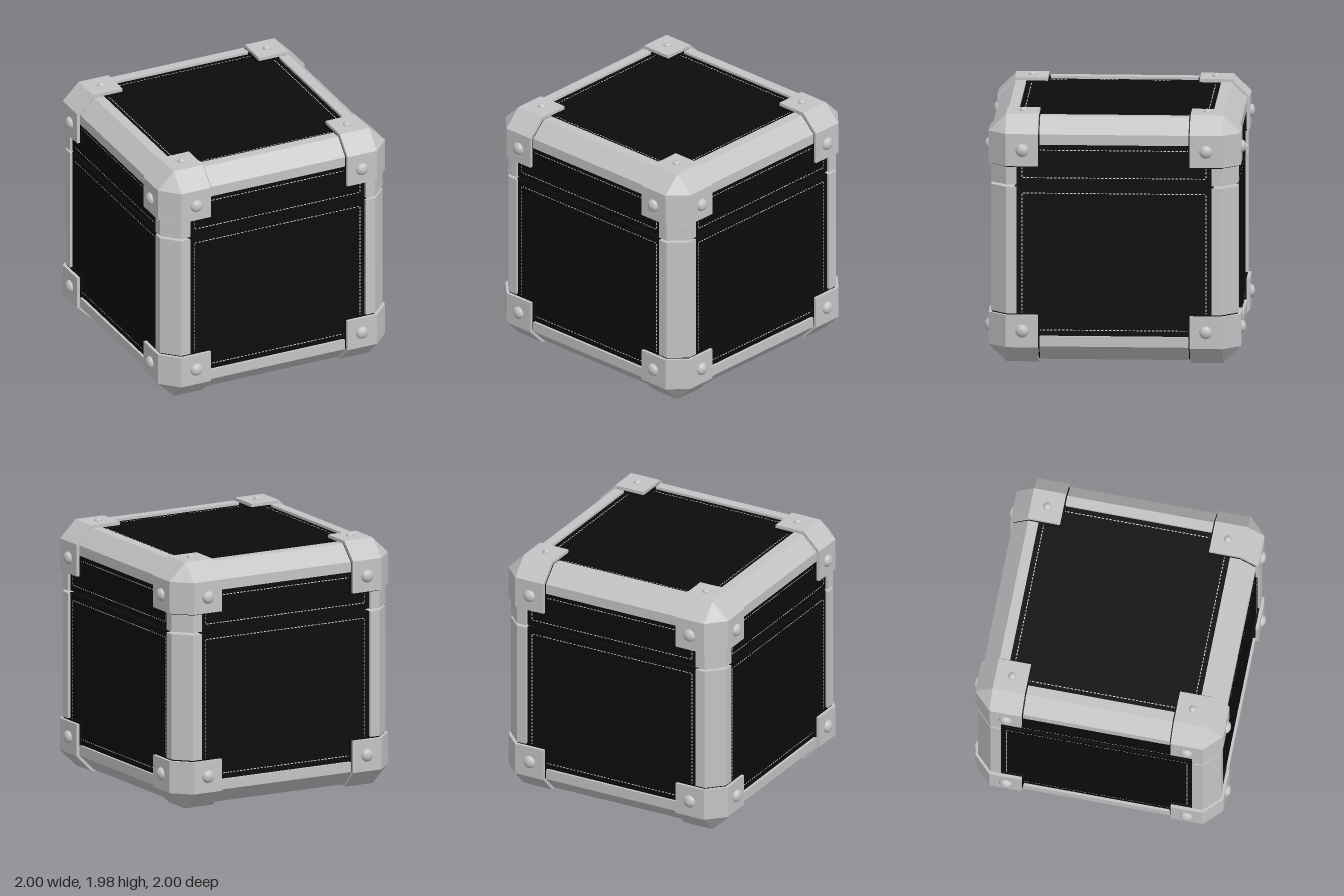
import * as THREE from 'three';
import { mergeGeometries } from 'three/addons/utils/BufferGeometryUtils.js';
import { ConvexGeometry } from 'three/addons/geometries/ConvexGeometry.js';

const mat = (name, color) => {
  const m = new THREE.MeshStandardMaterial({ color });
  m.name = name;
  return m;
};

const CENTRE_Y = 0.99;              // all parts are built around the cube centre
const PANEL = 0.925;                // half size to the panel faces
const CORE = 0.76;                  // half size of the inner core
const SEAM_LOW = 0.415, SEAM_HIGH = 0.435; // gap between base and lid
const SIGNS = [-1, 1];

// Vector from a value along an axis and values along the next two axes
function onAxis(axis, along, u, v) {
  const p = [0, 0, 0];
  p[axis] = along;
  p[(axis + 1) % 3] = u;
  p[(axis + 2) % 3] = v;
  return new THREE.Vector3(...p);
}

// Chamfered bar along one cube edge
function edgeBar(axis, su, sv, from, to) {
  const profile = [[0.745, 0.745], [0.745, 0.945], [0.825, 0.945], [0.945, 0.825], [0.945, 0.745]];
  const pts = [];
  for (const end of [from, to])
    for (const [u, v] of profile) pts.push(onAxis(axis, end, u * su, v * sv));
  return new ConvexGeometry(pts);
}

// Cube corner with three chamfered edges and a cut tip
function cornerBlock(signs, inner, chamfer, outer) {
  const pts = [new THREE.Vector3(inner, inner, inner)];
  for (let axis = 0; axis < 3; axis++)
    for (const u of [inner, chamfer])
      for (const v of [inner, chamfer]) pts.push(onAxis(axis, outer, u, v));
  return new ConvexGeometry(pts.map(p => p.multiply(signs)));
}

// Dashed rectangle of flat stitches in the XY plane
function stitchFrame(halfWidth, low, high) {
  const dashes = [];
  const line = (x0, y0, x1, y1) => {
    const length = Math.hypot(x1 - x0, y1 - y0);
    const n = Math.round(length / 0.03);
    for (let i = 0; i < n; i++) {
      const t = (i + 0.5) / n;
      const dash = new THREE.PlaneGeometry(0.019, 0.007);
      dash.rotateZ(Math.atan2(y1 - y0, x1 - x0));
      dash.translate(x0 + (x1 - x0) * t, y0 + (y1 - y0) * t, PANEL + 0.003);
      dashes.push(dash);
    }
  };
  line(-halfWidth, low, halfWidth, low);
  line(halfWidth, low, halfWidth, high);
  line(halfWidth, high, -halfWidth, high);
  line(-halfWidth, high, -halfWidth, low);
  return mergeGeometries(dashes);
}

export function createModel() {
  const black = mat('black covering', 0x0c0c0c);
  const metal = mat('grey metal', 0xc4c4c6);
  const thread = mat('pale thread', 0xdcdcdc);

  const model = new THREE.Group();
  model.name = 'case';
  const body = new THREE.Group();
  body.name = 'caseBody';
  body.position.y = CENTRE_Y;
  model.add(body);

  const add = (name, geometry, material) => {
    const mesh = new THREE.Mesh(geometry, material);
    mesh.name = name;
    body.add(mesh);
    return mesh;
  };

  // Core carries the top and bottom panels
  add('core', new THREE.BoxGeometry(CORE * 2, PANEL * 2, CORE * 2), black);

  // Side panels, split at the seam
  for (const [name, low, high] of [['base', -CORE, SEAM_LOW], ['lid', SEAM_HIGH, CORE]])
    for (const [w, d] of [[PANEL, CORE], [CORE, PANEL]])
      add(name + 'Panels', new THREE.BoxGeometry(w * 2, high - low, d * 2), black)
        .position.y = (low + high) / 2;

  // Edge bars; the upright ones are split at the seam
  for (const su of SIGNS)
    for (const sv of SIGNS) {
      add('edgeBarX', edgeBar(0, su, sv, -0.57, 0.57), metal);
      add('edgeBarZ', edgeBar(2, su, sv, -0.57, 0.57), metal);
      add('baseUprightBar', edgeBar(1, su, sv, -0.57, SEAM_LOW), metal);
      add('lidUprightBar', edgeBar(1, su, sv, SEAM_HIGH, 0.57), metal);
    }

  // Corner caps with dark pads beneath and three rivets each
  const dome = new THREE.SphereGeometry(1, 24, 8, 0, Math.PI * 2, 0, Math.PI / 2);
  const up = new THREE.Vector3(0, 1, 0);
  for (const sx of SIGNS)
    for (const sy of SIGNS)
      for (const sz of SIGNS) {
        const signs = new THREE.Vector3(sx, sy, sz);
        add('cornerPad', cornerBlock(signs, 0.566, 0.82, 0.94), black);
        add('cornerCap', cornerBlock(signs, 0.58, 0.83, 0.965), metal);
        for (let axis = 0; axis < 3; axis++) {
          const rivet = add('rivet', dome, metal);
          const radius = axis === 1 ? 0.03 : 0.05;
          rivet.position.copy(onAxis(axis, 0.965, 0.703, 0.703).multiply(signs));
          rivet.quaternion.setFromUnitVectors(up, onAxis(axis, 1, 0, 0).multiply(signs));
          rivet.scale.set(radius, axis === 1 ? 0.025 : 0.035, radius);
        }
      }

  // Stitching on the four sides and the top
  const baseStitch = stitchFrame(0.703, -0.7, 0.365);
  const lidStitch = stitchFrame(0.703, 0.485, 0.7);
  for (let i = 0; i < 4; i++) {
    add('baseStitching', baseStitch, thread).rotation.y = i * Math.PI / 2;
    add('lidStitching', lidStitch, thread).rotation.y = i * Math.PI / 2;
  }
  add('topStitching', stitchFrame(0.703, -0.703, 0.703), thread).rotation.x = -Math.PI / 2;

  return model;
}
